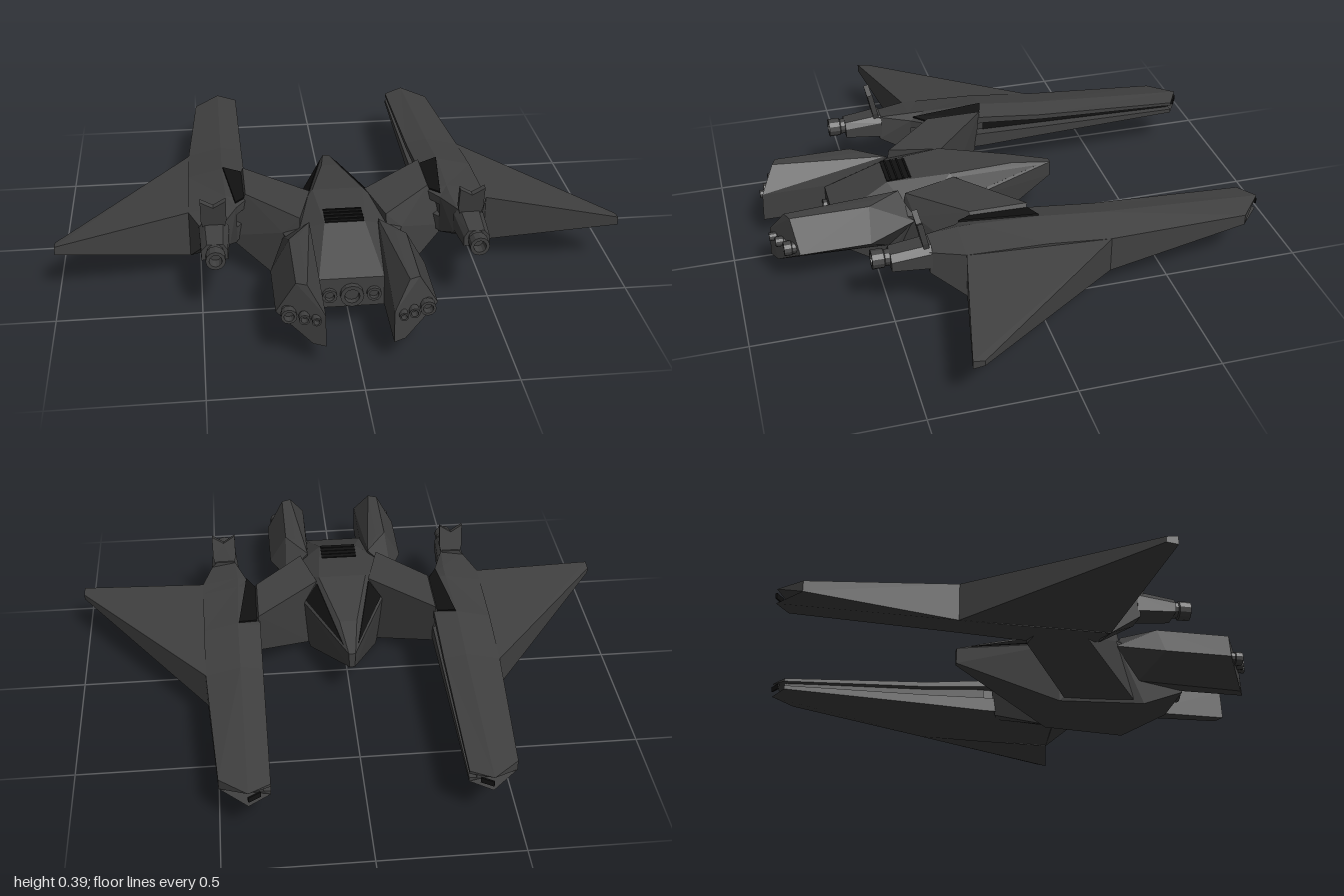
import * as THREE from 'three';
import { ConvexGeometry } from 'three/addons/geometries/ConvexGeometry.js';

const hullMat = new THREE.MeshStandardMaterial({ color: 0x404040, flatShading: true });
const darkMat = new THREE.MeshStandardMaterial({ color: 0x111111, flatShading: true });

const vecs = (pts) => pts.map((p) => new THREE.Vector3(...p));
const hull = (pts) => new ConvexGeometry(vecs(pts));
const bothSides = (pts) => pts.flatMap(([x, y, z]) => [[x, y, z], [-x, y, z]]);

// Thin plate through the given corners
function plate(pts, t = 0.003) {
  const v = vecs(pts);
  const n = new THREE.Triangle(v[0], v[1], v[2]).getNormal(new THREE.Vector3()).multiplyScalar(t);
  return new ConvexGeometry(v.flatMap((p) => [p.clone().add(n), p.clone().sub(n)]));
}

// Skin over equal-length rings, ordered from low z to high z, with end caps
function loft(rings) {
  const pos = [];
  const n = rings[0].length;
  for (let r = 0; r < rings.length - 1; r++) {
    const a = rings[r], b = rings[r + 1];
    for (let i = 0; i < n; i++) {
      const j = (i + 1) % n;
      pos.push(...a[i], ...a[j], ...b[j], ...a[i], ...b[j], ...b[i]);
    }
  }
  const cap = (ring, flip) => {
    const flat = ring.map((p) => new THREE.Vector2(p[0], p[1]));
    for (const [i, j, k] of THREE.ShapeUtils.triangulateShape(flat, [])) {
      pos.push(...ring[i], ...ring[flip ? k : j], ...ring[flip ? j : k]);
    }
  };
  cap(rings[0], true);
  cap(rings[rings.length - 1], false);
  const g = new THREE.BufferGeometry();
  g.setAttribute('position', new THREE.Float32BufferAttribute(pos, 3));
  g.computeVertexNormals();
  return g;
}

// Mirror in x, restoring the winding
function mirror(geo) {
  const g = geo.index ? geo.toNonIndexed() : geo.clone();
  const p = g.attributes.position;
  for (let i = 0; i < p.count; i += 3) {
    const c = [0, 2, 1].map((k) => new THREE.Vector3().fromBufferAttribute(p, i + k));
    c.forEach((v, k) => p.setXYZ(i + k, -v.x, v.y, v.z));
  }
  g.computeVertexNormals();
  return g;
}

// Hollow round nozzle pointing to +z
function nozzle(x, y, z0, z1, r) {
  const l = z1 - z0;
  const profile = [[r * 0.85, 0], [r * 0.85, l * 0.45], [r, l * 0.5], [r, l], [r * 0.65, l], [r * 0.6, l * 0.5], [0, l * 0.5]];
  return new THREE.LatheGeometry(profile.map((p) => new THREE.Vector2(...p)), 12)
    .rotateX(Math.PI / 2).translate(x, y, z0);
}

// Boom cross-section with a groove along its inner wall
function boomRing(z, xo, yb, yo, xr, yr, xi, yi, gu, gl, yib, ybr, depth) {
  const [zo, zr, zi] = z;
  return [
    [xo, yb, zo], [xo, yo, zo], [xr, yr, zr], [xi, yi, zi],
    [xi, gu, zi], [xi + depth, gu, zi], [xi + depth, gl, zi], [xi, gl, zi],
    [xi, yib, zi], [xr, ybr, zr],
  ];
}

export function createModel() {
  const model = new THREE.Group();
  const add = (name, geo, mat = hullMat) => {
    const m = new THREE.Mesh(geo, mat);
    m.name = name;
    model.add(m);
    return m;
  };
  const pair = (name, geo, mat) => {
    add(name + 'Left', geo, mat);
    add(name + 'Right', mirror(geo), mat);
  };

  // Central body with pointed cockpit and sloped rear deck
  add('body', hull(bothSides([
    [0.012, 0.235, -0.205], [0.01, 0.175, -0.205], [0.032, 0.269, -0.05], [0.09, 0.3, 0.2],
    [0.155, 0.22, 0.16], [0.07, 0.292, 0.33], [0.07, 0.29, 0.43], [0.21, 0.22, 0.36],
    [0.13, 0, 0.16], [0.16, 0, 0.47], [0.11, 0.19, 0.635], [0.11, 0.08, 0.635],
  ])));
  pair('cockpitWindow', plate([[0.027, 0.238, -0.15], [0.098, 0.285, 0.18], [0.143, 0.229, 0.15]]), darkMat);

  // Vent with slats on the top deck
  add('vent', new THREE.BoxGeometry(0.135, 0.012, 0.1).translate(0, 0.288, 0.38), darkMat);
  for (let i = 0; i < 4; i++) {
    add('ventSlat', new THREE.BoxGeometry(0.135, 0.006, 0.006).translate(0, 0.294, 0.345 + i * 0.023), darkMat);
  }

  // Main engine nozzles
  add('mainNozzle', nozzle(0, 0.13, 0.61, 0.655, 0.04));
  pair('sideNozzle', nozzle(0.075, 0.13, 0.61, 0.65, 0.025));

  // Engine pods flanking the rear deck
  pair('enginePod', hull([
    [0.11, 0.085, 0.87], [0.15, 0.085, 0.85], [0.265, 0.17, 0.78], [0.2, 0.285, 0.8],
    [0.165, 0.285, 0.815], [0.11, 0.195, 0.865],
    [0.265, 0.17, 0.53], [0.2, 0.285, 0.52], [0.165, 0.285, 0.5], [0.11, 0.085, 0.55],
    [0.11, 0.195, 0.56], [0.21, 0.2, 0.36], [0.17, 0.085, 0.45], [0.12, 0.28, 0.4],
  ]));
  [[0.225, 0.78, 0.832, 0.026], [0.177, 0.8, 0.855, 0.018], [0.14, 0.82, 0.872, 0.015]]
    .forEach(([x, a, b, r]) => pair('podNozzle', nozzle(x, 0.18, a, b, r)));

  // Arms joining the body to the booms
  pair('arm', hull([
    [0.1, 0.29, 0.19], [0.15, 0.275, 0.155], [0.15, 0.285, 0.38], [0.21, 0.22, 0.36],
    [0.13, 0.01, 0.18], [0.165, 0.01, 0.43],
    [0.33, 0.29, -0.02], [0.33, 0.29, 0.19], [0.4, 0.13, 0.02], [0.4, 0.13, 0.2], [0.33, 0.12, 0],
  ]));

  // Long booms with a dark groove inside
  const z3 = (z) => [z, z, z];
  pair('boom', loft([
    boomRing([-0.79, -0.875, -0.83], 0.495, 0.165, 0.205, 0.4, 0.215, 0.325, 0.21, 0.198, 0.18, 0.165, 0.16, 0.025),
    boomRing(z3(-0.27), 0.53, 0.088, 0.225, 0.405, 0.255, 0.325, 0.24, 0.22, 0.185, 0.145, 0.125, 0.035),
    boomRing(z3(-0.04), 0.533, 0.085, 0.25, 0.407, 0.28, 0.325, 0.265, 0.24, 0.19, 0.135, 0.125, 0.04),
    boomRing(z3(0.19), 0.535, 0.085, 0.258, 0.4, 0.285, 0.325, 0.27, 0.24, 0.19, 0.135, 0.125, 0.04),
    boomRing(z3(0.25), 0.535, 0.085, 0.26, 0.4, 0.285, 0.365, 0.27, 0.24, 0.19, 0.135, 0.13, 0.01),
  ]));
  pair('boomGroove', plate([
    [0.349, 0.181, -0.82], [0.349, 0.197, -0.82], [0.36, 0.238, -0.04], [0.36, 0.192, -0.04],
  ]), darkMat);
  pair('boomPanel', plate([
    [0.403, 0.284, -0.04], [0.337, 0.272, -0.02], [0.335, 0.275, 0.19], [0.368, 0.284, 0.24],
  ]), darkMat);
  pair('boomTipSlot', plate([
    [0.36, 0.18, -0.852], [0.36, 0.2, -0.852], [0.4, 0.2, -0.876], [0.4, 0.18, -0.876],
  ]), darkMat);

  // Swept wings
  pair('wing', hull([
    [0.53, 0.085, 0.25], [0.53, 0.26, 0.25], [0.53, 0.088, -0.27], [0.53, 0.225, -0.27],
    [1, 0.175, 0.35], [1, 0.205, 0.35], [1, 0.18, 0.31], [1, 0.2, 0.31],
  ]));

  // Gun mounts, barrels and notched fins at the boom ends
  pair('gunMount', hull([
    [0.365, 0.13, 0.25], [0.535, 0.085, 0.25], [0.535, 0.26, 0.25], [0.4, 0.285, 0.25], [0.365, 0.27, 0.25],
    [0.395, 0.19, 0.37], [0.495, 0.18, 0.37], [0.495, 0.265, 0.37], [0.41, 0.28, 0.37],
  ]));
  pair('gunBody', hull([
    [0.395, 0.2, 0.36], [0.5, 0.2, 0.36], [0.5, 0.26, 0.36], [0.48, 0.285, 0.36], [0.415, 0.285, 0.36], [0.395, 0.26, 0.36],
    [0.405, 0.21, 0.5], [0.495, 0.21, 0.5], [0.495, 0.245, 0.5], [0.475, 0.268, 0.5], [0.42, 0.268, 0.5], [0.405, 0.245, 0.5],
  ]));
  pair('gunBarrel', nozzle(0.448, 0.24, 0.48, 0.562, 0.034));
  const finShape = new THREE.Shape([
    [-0.035, 0], [0.035, 0], [0.044, 0.035], [0.044, 0.12], [0, 0.092], [-0.044, 0.12], [-0.044, 0.035],
  ].map((p) => new THREE.Vector2(...p)));
  pair('fin', new THREE.ExtrudeGeometry(finShape, { depth: 0.02, bevelEnabled: false })
    .rotateX(0.2).translate(0.448, 0.268, 0.365));

  return model;
}
